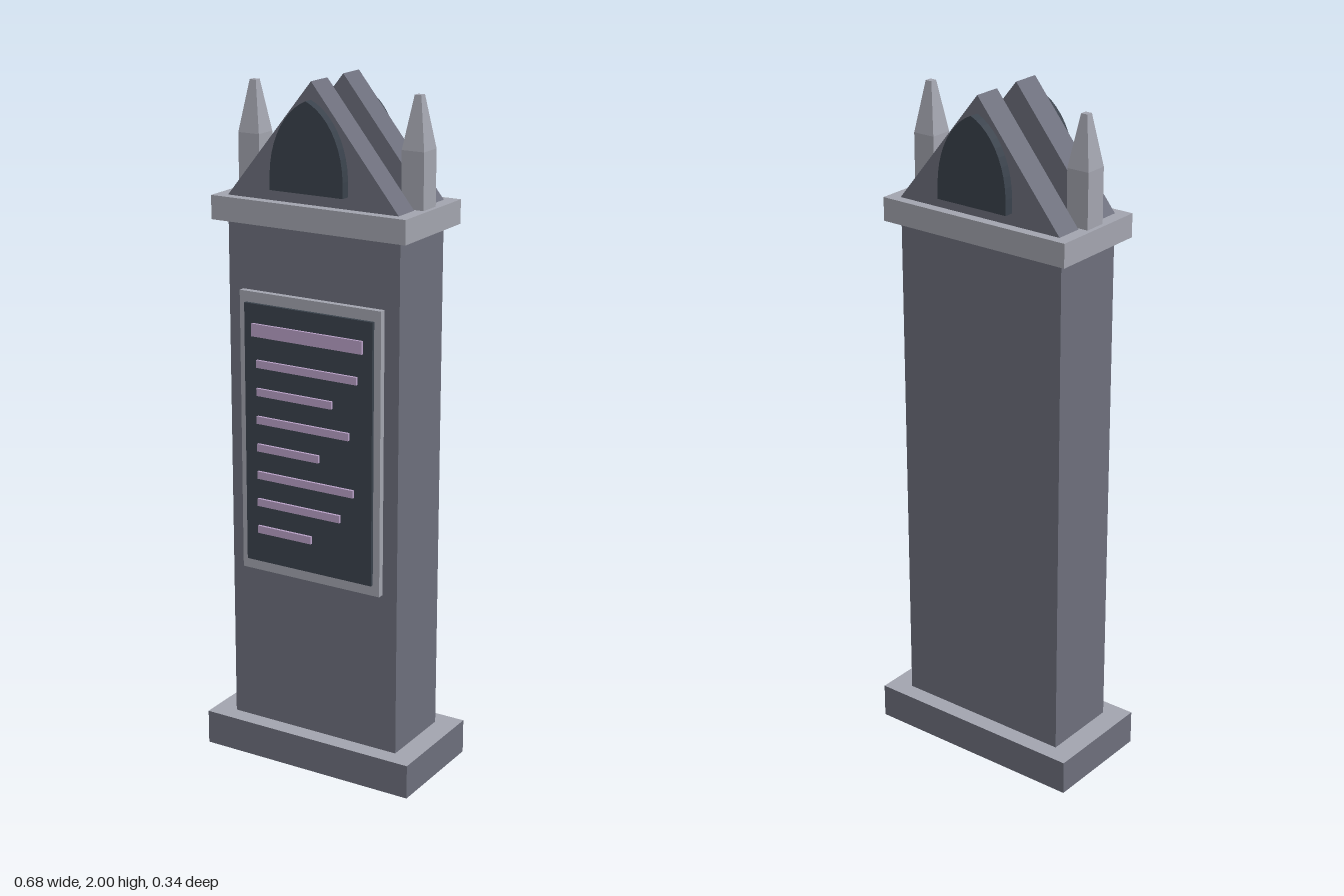
import * as THREE from 'three';

const mat = (name, color) => {
  const m = new THREE.MeshStandardMaterial({ color });
  m.name = name;
  return m;
};

export function createModel() {
  const root = new THREE.Group();
  root.name = 'stonePillarSign';
  const stone = mat('darkStone', 0x6d6f7c);
  const trim = mat('lightStone', 0xa3a5af);
  const slate = mat('slate', 0x3a424c);
  const lilac = mat('lilac', 0xb8a0c6);

  const add = (name, geometry, material) => {
    const mesh = new THREE.Mesh(geometry, material);
    mesh.name = name;
    root.add(mesh);
    return mesh;
  };
  // Box given by its minimum and maximum corners
  const box = (name, material, [x0, y0, z0], [x1, y1, z1]) => {
    const mesh = add(name, new THREE.BoxGeometry(x1 - x0, y1 - y0, z1 - z0), material);
    mesh.position.set((x0 + x1) / 2, (y0 + y1) / 2, (z0 + z1) / 2);
    return mesh;
  };
  const slab = (name, shape, material, z0, z1) => {
    const g = new THREE.ExtrudeGeometry(shape, { depth: z1 - z0, bevelEnabled: false, curveSegments: 10 });
    add(name, g.translate(0, 0, z0), material);
  };

  // Plinth with a pale top face, shaft and cap
  box('plinth', [stone, stone, trim, stone, stone, stone], [-0.34, 0, -0.17], [0.34, 0.102, 0.17]);
  box('shaft', stone, [-0.273, 0.102, -0.119], [0.273, 1.6, 0.119]);
  box('cap', trim, [-0.307, 1.6, -0.153], [0.307, 1.668, 0.153]);

  // Twin gables, each with a pointed arch panel on its outer face
  const gable = new THREE.Shape();
  gable.moveTo(-0.27, 1.668).lineTo(0.27, 1.668).lineTo(0, 2);
  const arch = new THREE.Shape();
  arch.moveTo(-0.115, 1.702).lineTo(0.115, 1.702).lineTo(0.115, 1.745);
  arch.bezierCurveTo(0.112, 1.85, 0.062, 1.925, 0, 1.951);
  arch.bezierCurveTo(-0.062, 1.925, -0.112, 1.85, -0.115, 1.745);
  slab('frontGable', gable, stone, 0.041, 0.124);
  slab('backGable', gable, stone, -0.124, -0.041);
  slab('frontArch', arch, slate, 0.124, 0.152);
  slab('backArch', arch, slate, -0.152, -0.124);

  // Square pinnacles tapering to a blunt tip
  for (const side of [-1, 1]) {
    const name = side > 0 ? 'leftPinnacle' : 'rightPinnacle';
    const x = side * 0.26;
    box(name + 'Shaft', trim, [x - 0.034, 1.668, -0.034], [x + 0.034, 1.825, 0.034]);
    const tip = new THREE.CylinderGeometry(0.01 * Math.SQRT2, 0.034 * Math.SQRT2, 0.145, 4)
      .rotateY(Math.PI / 4).toNonIndexed();
    tip.computeVertexNormals();
    add(name + 'Tip', tip, trim).position.set(x, 1.8975, 0);
  }

  // Framed board
  box('boardFrame', trim, [-0.227, 0.582, 0.119], [0.227, 1.407, 0.138]);
  box('board', slate, [-0.206, 0.614, 0.138], [0.206, 1.376, 0.148]);

  // Heading bar and rows of differing length
  box('headingBar', lilac, [-0.179, 1.284, 0.148], [0.177, 1.321, 0.156]);
  [0.161, 0.081, 0.135, 0.038, 0.151, 0.107, 0.013].forEach((right, i) => {
    const y = 1.206 - i * 0.082;
    box('rowBar' + (i + 1), lilac, [-0.164, y - 0.011, 0.148], [right, y + 0.011, 0.156]);
  });

  return root;
}
